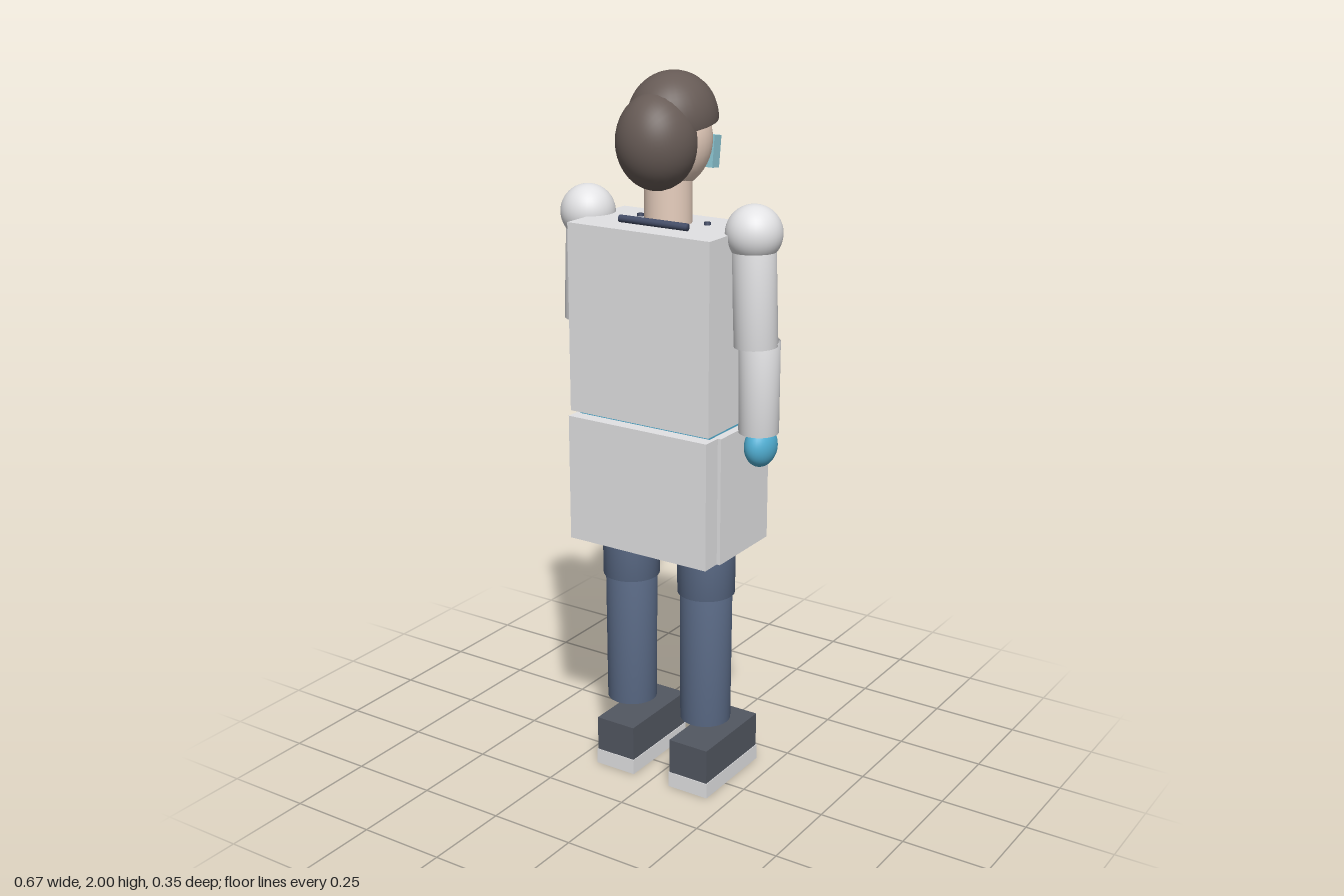
import * as THREE from 'three';
import { mergeVertices } from 'three/addons/utils/BufferGeometryUtils.js';

function paint(name, color, side = THREE.FrontSide) {
  const m = new THREE.MeshStandardMaterial({ color, side });
  m.name = name;
  return m;
}

export function createModel() {
  const coat = paint('white cloth', 0xe2e2e4);
  const teal = paint('teal', 0x52b0d4);
  const denim = paint('denim', 0x5b6b87);
  const shoe = paint('dark shoe', 0x525761);
  const skin = paint('skin', 0xecd3c2);
  const hair = paint('brown hair', 0x675b56, THREE.DoubleSide);
  const lens = paint('pale lens', 0x8cc6d3);
  const navy = paint('navy rubber', 0x434c66);
  const metal = paint('light metal', 0xd4d4d6);

  const model = new THREE.Group();
  model.name = 'labCoatFigure';

  function add(name, geometry, material, x = 0, y = 0, z = 0) {
    const mesh = new THREE.Mesh(geometry, material);
    mesh.name = name;
    mesh.position.set(x, y, z);
    model.add(mesh);
    return mesh;
  }
  // Box given by its limits on each axis
  function box(name, material, [x0, x1], [y0, y1], [z0, z1]) {
    return add(name, new THREE.BoxGeometry(x1 - x0, y1 - y0, z1 - z0), material,
      (x0 + x1) / 2, (y0 + y1) / 2, (z0 + z1) / 2);
  }
  function ellipsoid(name, material, [x, y, z], [rx, ry, rz]) {
    const mesh = add(name, new THREE.SphereGeometry(1, 32, 24), material, x, y, z);
    mesh.scale.set(rx, ry, rz);
    return mesh;
  }
  // Limb between two points, with normals smoothed across its rims
  function limb(name, material, from, to, r0, r1) {
    const a = new THREE.Vector3(...from), b = new THREE.Vector3(...to);
    let g = new THREE.CylinderGeometry(r1, r0, a.distanceTo(b), 32);
    g.deleteAttribute('normal');
    g.deleteAttribute('uv');
    g = mergeVertices(g, 1e-5);
    g.computeVertexNormals();
    const mesh = add(name, g, material);
    mesh.position.addVectors(a, b).multiplyScalar(0.5);
    mesh.quaternion.setFromUnitVectors(new THREE.Vector3(0, 1, 0), b.sub(a).normalize());
    return mesh;
  }

  // Shirt and coat body
  box('shirt', teal, [-0.207, 0.207], [1.07, 1.6], [-0.115, 0.13]);
  box('coatBody', coat, [-0.22, 0.22], [1.093, 1.61], [-0.106, 0.157]);
  box('shirtFront', teal, [-0.207, 0.207], [1.07, 1.6], [-0.117, -0.1]);
  box('coatSkirt', coat, [-0.22, 0.22], [0.725, 1.08], [-0.108, 0.167]);

  for (const s of [1, -1]) {
    const side = s > 0 ? 'left' : 'right';
    const span = (a, b) => (s > 0 ? [a, b] : [-b, -a]);

    // Coat fronts and skirt sides
    box(side + 'Lapel', coat, span(0.06, 0.207), [1.19, 1.605], [-0.125, -0.1]);
    box(side + 'SkirtPanel', coat, span(0.13, 0.23), [0.725, 1.08], [-0.137, 0.11]);

    // Arm
    ellipsoid(side + 'Shoulder', coat, [s * 0.26, 1.61, 0.008], [0.075, 0.075, 0.075]);
    limb(side + 'UpperArm', coat, [s * 0.272, 1.315, 0.01], [s * 0.26, 1.61, 0.01], 0.058, 0.058);
    limb(side + 'Forearm', coat, [s * 0.272, 1.075, -0.011], [s * 0.272, 1.325, -0.009], 0.054, 0.055);
    ellipsoid(side + 'Glove', teal, [s * 0.272, 1.032, -0.024], [0.041, 0.057, 0.056]);

    // Leg
    limb(side + 'Thigh', denim, [s * 0.125, 0.59, 0.01], [s * 0.125, 0.85, 0.01], 0.08, 0.081);
    limb(side + 'Shin', denim, [s * 0.125, 0.204, 0.01], [s * 0.125, 0.62, 0.01], 0.071, 0.073);

    // Shoe
    box(side + 'Shoe', shoe, span(0.062, 0.186), [0.045, 0.147], [-0.172, 0.1]);
    box(side + 'Sole', coat, span(0.06, 0.188), [0, 0.045], [-0.175, 0.102]);

    // Tube end entering the coat
    limb(side + 'TubeEnd', navy, [s * 0.105, 1.59, -0.015], [s * 0.105, 1.617, -0.015], 0.009, 0.009);
  }

  // Tube behind the neck
  limb('neckTube', navy, [-0.105, 1.62, 0.08], [0.105, 1.62, 0.08], 0.01, 0.01);

  // Chest disc
  ellipsoid('chestDisc', metal, [0.078, 1.31, -0.127], [0.027, 0.027, 0.009]);

  // Pocket, badge and pen on the right breast
  box('badge', coat, [-0.165, -0.1], [1.37, 1.46], [-0.13, -0.12]);
  box('badgeStripe', teal, [-0.168, -0.097], [1.39, 1.412], [-0.134, -0.125]);
  box('pocket', coat, [-0.155, -0.108], [1.33, 1.36], [-0.13, -0.12]);
  limb('pen', teal, [-0.09, 1.4, -0.131], [-0.09, 1.475, -0.131], 0.006, 0.006);

  // Neck and head
  add('neck', new THREE.CylinderGeometry(0.063, 0.063, 0.15, 32), skin, 0, 1.66, 0.01);
  ellipsoid('head', skin, [0, 1.825, -0.004], [0.104, 0.128, 0.118]);

  // Hair cap, tipped up toward the face
  const cap = add('hairCap', new THREE.SphereGeometry(1, 32, 16, 0, Math.PI * 2, 0, Math.PI * 0.53),
    hair, 0, 1.878, -0.012);
  cap.scale.set(0.115, 0.122, 0.128);
  cap.rotation.x = 0.14;

  // Rear hair, cut flat behind the ears
  const rearShape = new THREE.SphereGeometry(1, 32, 20, 0, Math.PI * 2, 0, 1.87);
  rearShape.rotateX(Math.PI / 2);
  const rear = add('rearHair', rearShape, hair, 0, 1.828, 0.062);
  rear.scale.set(0.107, 0.127, 0.11);

  // Goggles
  const goggles = add('goggles', new THREE.BoxGeometry(0.148, 0.085, 0.034), lens, 0, 1.785, -0.109);
  goggles.rotation.x = -0.13;

  return model;
}
